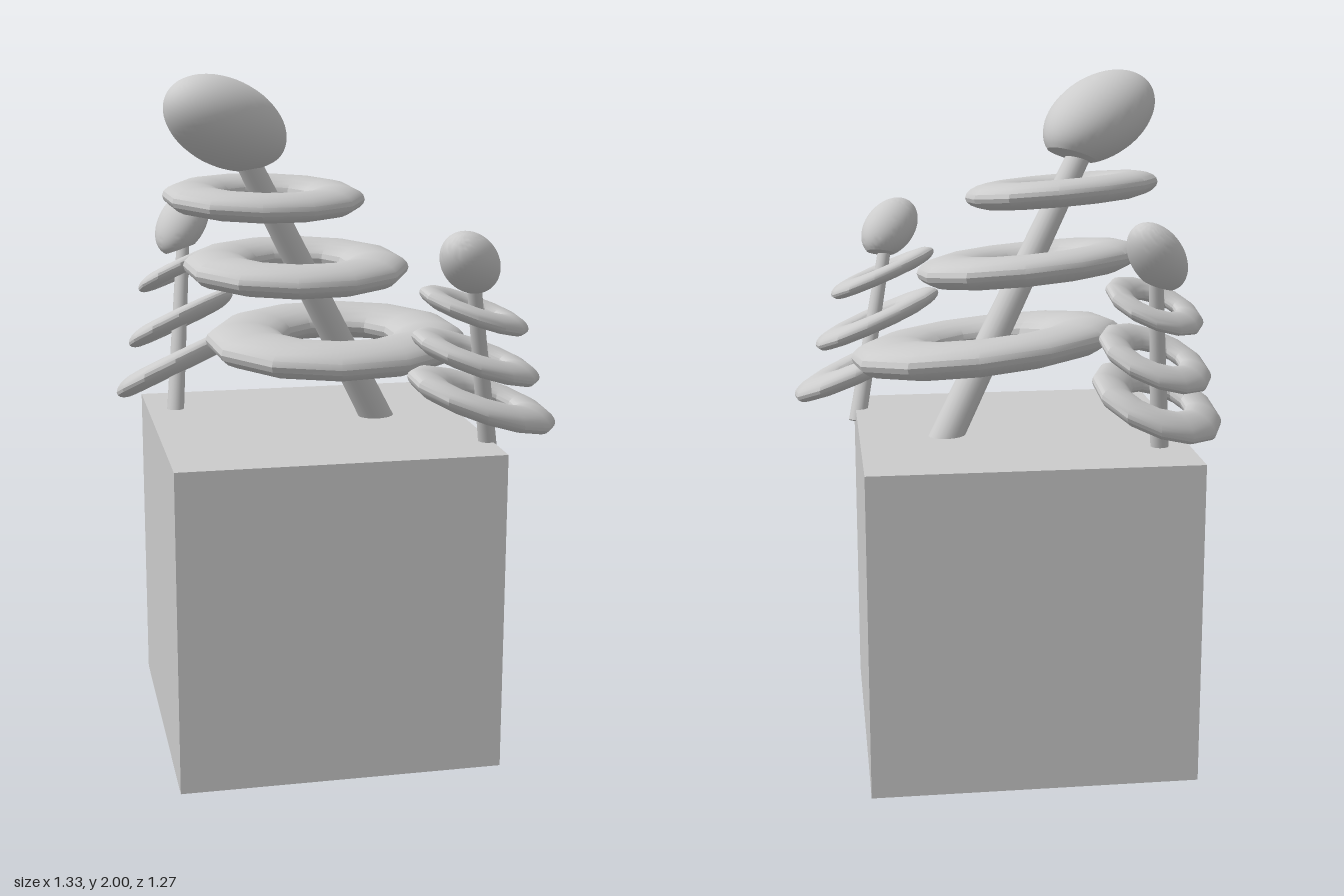
import * as THREE from 'three';
import { toCreasedNormals } from 'three/addons/utils/BufferGeometryUtils.js';

const V = (a) => new THREE.Vector3(...a);
const material = new THREE.MeshStandardMaterial({ color: 0xcccccc });

function addMesh(group, name, geometry) {
  const mesh = new THREE.Mesh(geometry, material);
  mesh.name = name;
  group.add(mesh);
}

// Matrix from three (possibly skewed) axes and a centre
function skew(x, y, z, centre) {
  return new THREE.Matrix4().makeBasis(V(x), V(y), V(z)).setPosition(V(centre));
}

// Flattened oval ring with 12 segments; its plane rises by slope[0] along x and slope[1] along z
function ringGeometry({ at, half, thick }, slope, turn) {
  const tube = 0.29;
  const geometry = new THREE.TorusGeometry(1 - tube, tube, 20, 12).rotateX(Math.PI / 2);
  const [hx, hz] = half;
  const ux = hx * Math.sqrt(1 - turn * turn);
  const vx = hx * turn;
  geometry.applyMatrix4(skew(
    [ux, slope[0] * ux, 0],
    [0, thick / tube, 0],
    [vx, slope[0] * vx + slope[1] * hz, hz],
    at
  ));
  return toCreasedNormals(geometry, 0.5);
}

// Tapered post between two points
function postGeometry(base, top, r0, r1) {
  const a = V(base), b = V(top);
  const dir = b.clone().sub(a);
  const geometry = new THREE.CylinderGeometry(r1, r0, dir.length(), 20);
  geometry.applyQuaternion(new THREE.Quaternion().setFromUnitVectors(V([0, 1, 0]), dir.normalize()));
  return geometry.translate(...a.add(b).multiplyScalar(0.5).toArray());
}

// Egg-shaped knob with a flat cut underside
function knobGeometry({ x, y, z, at }) {
  const points = [new THREE.Vector2(0, -0.85)];
  const start = Math.acos(-0.85);
  for (let i = 0; i <= 24; i++) {
    const t = start * (1 - i / 24);
    points.push(new THREE.Vector2(Math.max(0, Math.sin(t)), Math.cos(t)));
  }
  const geometry = new THREE.LatheGeometry(points, 40).applyMatrix4(skew(x, y, z, at));
  return toCreasedNormals(geometry, 0.6);
}

const towers = [
  {
    name: 'centreTower', slope: [-0.08, 0.03], turn: 0.1,
    post: [[0.012, 0.91, -0.24], [0.015, 1.78, 0.277], 0.05, 0.035],
    rings: [
      { at: [0.015, 1.208, -0.067], half: [0.33, 0.45], thick: 0.052 },
      { at: [0.006, 1.44, 0.077], half: [0.276, 0.378], thick: 0.046 },
      { at: [0.015, 1.65, 0.2], half: [0.235, 0.33], thick: 0.04 },
    ],
    knob: { x: [0.132, -0.012, 0], y: [0.03, 0.127, 0.14], z: [0, -0.05, 0.143], at: [0.01, 1.862, 0.33] },
  },
  {
    name: 'rightTower', slope: [0.45, -0.28], turn: 0.24,
    post: [[-0.43, 0.91, 0.236], [-0.527, 1.46, 0.13], 0.027, 0.02],
    rings: [
      { at: [-0.46, 1.09, 0.2], half: [0.17, 0.23], thick: 0.035 },
      { at: [-0.487, 1.225, 0.168], half: [0.145, 0.197], thick: 0.03 },
      { at: [-0.513, 1.38, 0.14], half: [0.12, 0.17], thick: 0.026 },
    ],
    knob: { x: [0.074, 0.02, 0], y: [-0.03, 0.095, -0.03], z: [0, -0.02, 0.09], at: [-0.537, 1.52, 0.125] },
  },
  {
    name: 'leftTower', slope: [-0.25, 0.31], turn: 0.1,
    post: [[0.445, 0.91, -0.285], [0.547, 1.45, -0.115], 0.027, 0.02],
    rings: [
      { at: [0.483, 1.085, -0.222], half: [0.175, 0.26], thick: 0.035 },
      { at: [0.506, 1.22, -0.172], half: [0.15, 0.22], thick: 0.03 },
      { at: [0.533, 1.36, -0.135], half: [0.125, 0.185], thick: 0.026 },
    ],
    knob: { x: [0.075, -0.02, 0], y: [0.035, 0.086, 0.06], z: [0, -0.02, 0.086], at: [0.553, 1.5, -0.095] },
  },
];

export function createModel() {
  const model = new THREE.Group();
  model.name = 'ringTowers';

  // Cube base, turned about the vertical
  const base = new THREE.BoxGeometry(0.955, 0.95, 0.945);
  base.rotateY(-0.463).translate(-0.032, 0.475, 0);
  addMesh(model, 'base', base);

  // Leaning towers: post, three stacked rings and a knob
  for (const { name, slope, turn, post, rings, knob } of towers) {
    const tower = new THREE.Group();
    tower.name = name;
    addMesh(tower, 'post', postGeometry(...post));
    rings.forEach((ring, i) => addMesh(tower, `ring${i + 1}`, ringGeometry(ring, slope, turn)));
    addMesh(tower, 'knob', knobGeometry(knob));
    model.add(tower);
  }
  return model;
}
